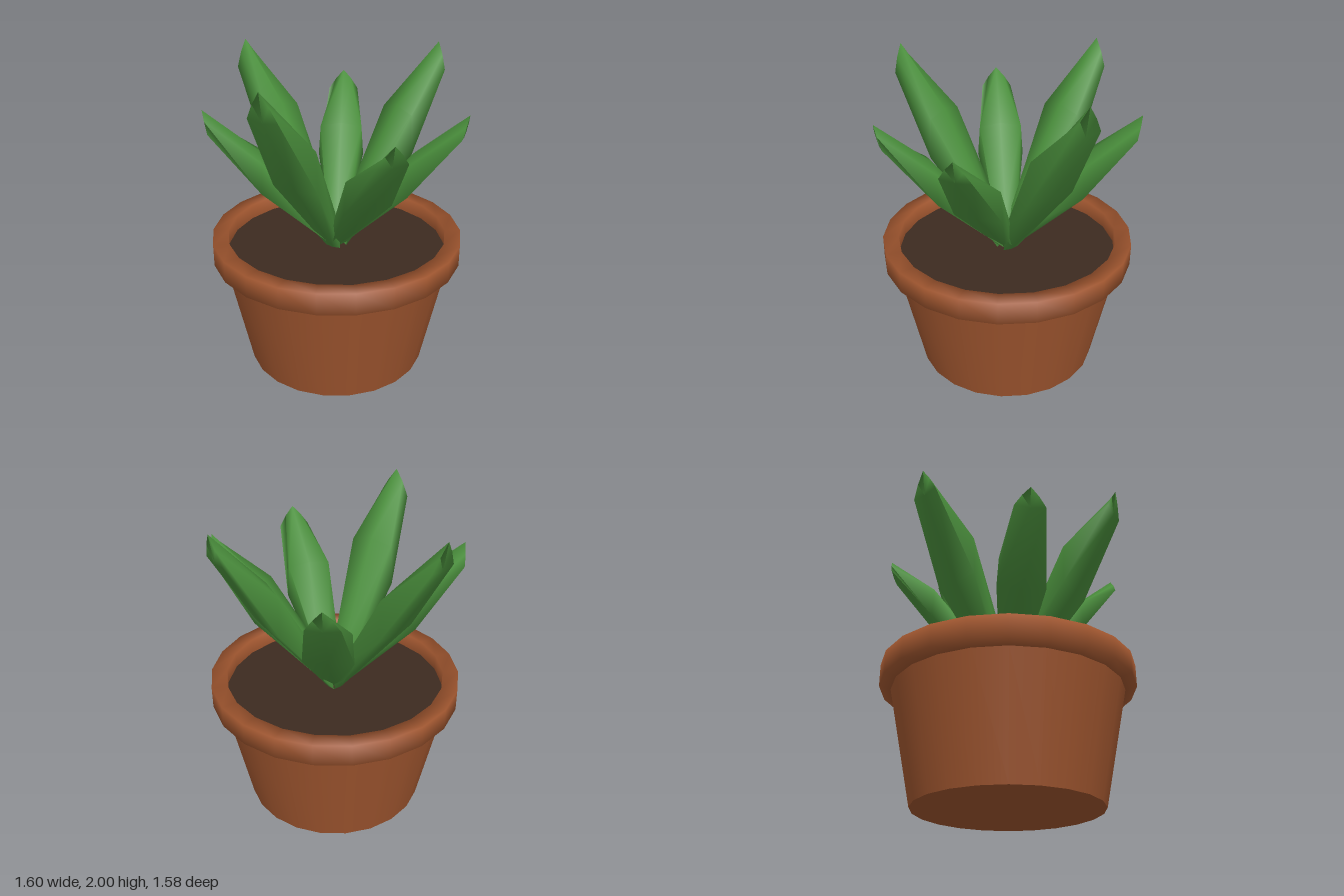
import * as THREE from 'three';

const SIDES = 22;
const clay = new THREE.MeshStandardMaterial({ color: 0xa0562f, side: THREE.DoubleSide });
const earth = new THREE.MeshStandardMaterial({ color: 0x3d2b20 });
const green = new THREE.MeshStandardMaterial({ color: 0x4a8f3c });

function add(parent, name, geometry, material) {
  const mesh = new THREE.Mesh(geometry, material);
  mesh.name = name;
  parent.add(mesh);
  return mesh;
}

// Turned part whose corners line up with the x axis
function turned(profile) {
  const points = profile.map(([r, y]) => new THREE.Vector2(r, y));
  return new THREE.LatheGeometry(points, SIDES, Math.PI / 2);
}

// Cross-sections of a leaf, from root to blunt tip:
// lower edge, upper shoulder and ridge as [out, height, half width]
const SECTIONS = [
  { edge: [0.04, 0.8, 0.05], shoulder: [0.08, 0.93, 0.07], ridge: [0.09, 0.96] },
  { edge: [0.48, 1.23, 0.152], shoulder: [0.475, 1.425, 0.138], ridge: [0.47, 1.45] },
  { edge: [0.776, 1.605, 0.097], shoulder: [0.79, 1.67, 0.052], ridge: [0.8, 1.727] },
];

function leafGeometry(stretch) {
  const positions = [];
  const index = [];
  const put = (x, y, z) => positions.push(x, 0.88 + (y - 0.88) * stretch, z);
  for (const { edge: e, shoulder: s, ridge: r } of SECTIONS) {
    put(e[0], e[1] - 0.01, 0);
    put(e[0], e[1], e[2]);
    put(s[0], s[1], s[2]);
    put(r[0], r[1], 0);
    put(s[0], s[1], -s[2]);
    put(e[0], e[1], -e[2]);
  }
  const n = 6;
  const last = (SECTIONS.length - 1) * n;
  for (let k = 0; k < last; k += n) {
    for (let j = 0; j < n; j++) {
      const a = k + j, b = k + ((j + 1) % n);
      index.push(a, a + n, b, b, a + n, b + n);
    }
  }
  // End caps
  for (let j = 1; j < n - 1; j++) {
    index.push(0, j, j + 1);
    index.push(last, last + j + 1, last + j);
  }
  const geometry = new THREE.BufferGeometry();
  geometry.setAttribute('position', new THREE.Float32BufferAttribute(positions, 3));
  geometry.setIndex(index);
  geometry.computeVertexNormals();
  return geometry;
}

export function createModel() {
  const model = new THREE.Group();
  model.name = 'pottedSucculent';

  // Pot
  const pot = new THREE.Group();
  pot.name = 'pot';
  model.add(pot);
  add(pot, 'potWall', turned([[0.58, 0], [0.73, 0.73]]), clay);
  add(pot, 'potBase', new THREE.CircleGeometry(0.58, SIDES).rotateX(Math.PI / 2), clay);
  add(pot, 'potRim', turned([[0.72, 0.72], [0.8, 0.74], [0.8, 0.88], [0.7, 0.88], [0.7, 0.77]]), clay);

  // Soil
  const soil = add(model, 'soil', new THREE.CircleGeometry(0.7, SIDES).rotateX(-Math.PI / 2), earth);
  soil.position.y = 0.78;

  // Seven leaves, alternating low and tall
  const low = leafGeometry(1);
  const tall = leafGeometry(1.322);
  const leaves = new THREE.Group();
  leaves.name = 'leaves';
  model.add(leaves);
  for (let i = 0; i < 7; i++) {
    const leaf = add(leaves, 'leaf' + (i + 1), i % 2 ? tall : low, green);
    leaf.rotation.y = (i / 7) * Math.PI * 2;
  }
  return model;
}
